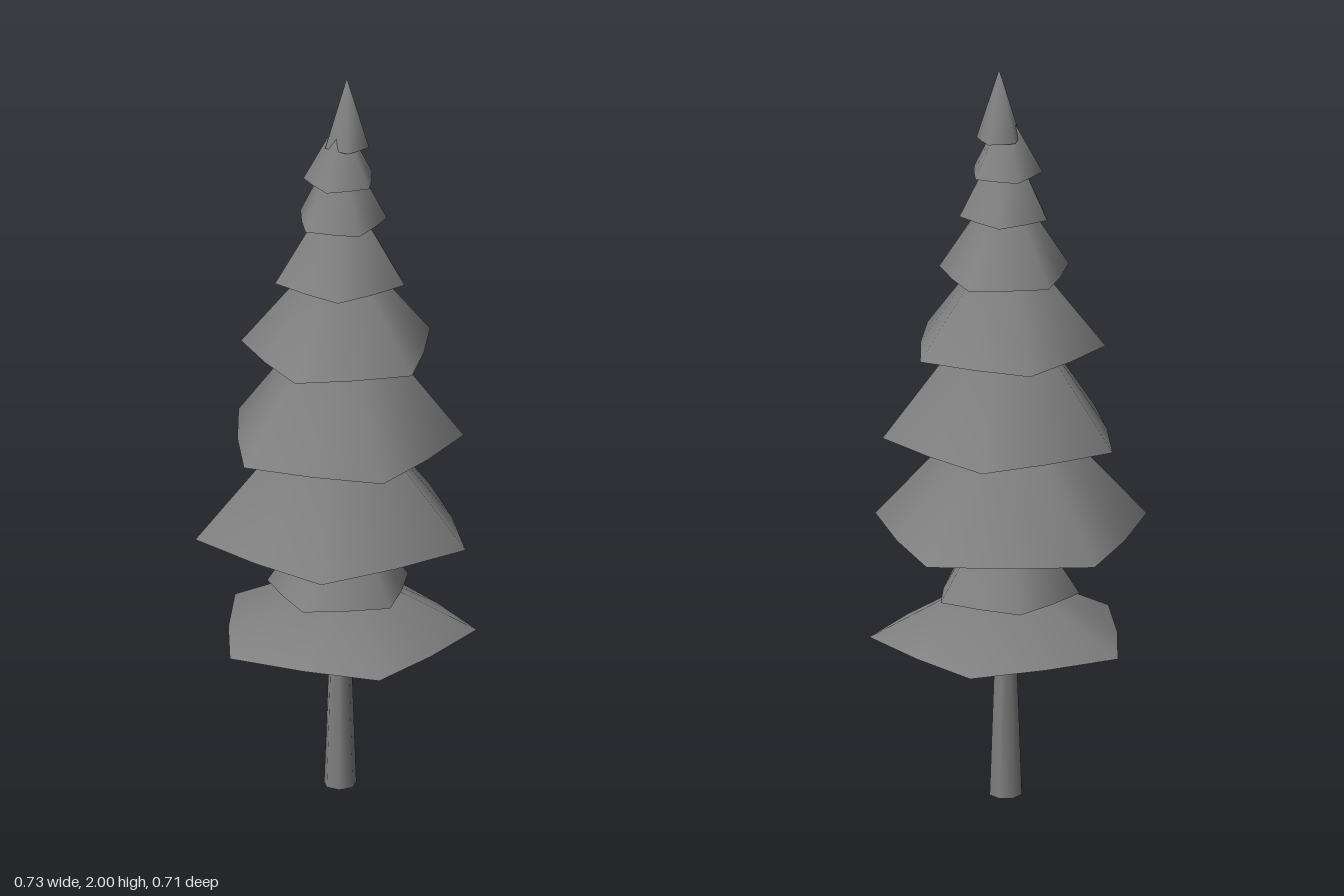
import * as THREE from 'three';

const grey = new THREE.MeshStandardMaterial({ color: 0x808080 });
grey.name = 'grey';

// Star-edged cone fan: five corners with slightly bowed edges between them
function fan(radius, turn, tipHeight, facingDown) {
  const points = [0, tipHeight, 0];
  const index = [];
  const n = 10;
  for (let i = 0; i < n; i++) {
    const a = THREE.MathUtils.degToRad(turn + i * 36);
    const r = i % 2 ? radius * 0.84 : radius;
    points.push(Math.cos(a) * r, 0, Math.sin(a) * r);
    const p = 1 + i, q = 1 + (i + 1) % n;
    index.push(0, ...(facingDown ? [p, q] : [q, p]));
  }
  const geometry = new THREE.BufferGeometry();
  geometry.setAttribute('position', new THREE.Float32BufferAttribute(points, 3));
  geometry.setIndex(index);
  geometry.computeVertexNormals();
  return geometry;
}

export function createModel() {
  const tree = new THREE.Group();
  tree.name = 'tree';

  // Tapered trunk
  const trunk = new THREE.Mesh(new THREE.CylinderGeometry(0.026, 0.043, 0.48, 7), grey);
  trunk.name = 'trunk';
  trunk.position.set(0.008, 0.24, -0.022);
  tree.add(trunk);

  // Branch tiers, bottom to top: base y, tip y, radius, turn in degrees, centre x, centre z
  const tiers = [
    [0.44, 0.625, 0.35, 0, 0.012, -0.025],
    [0.56, 0.86, 0.193, 46, 0.008, -0.022],
    [0.73, 1.15, 0.37, 21.6, -0.006, -0.017],
    [0.99, 1.41, 0.319, -4, 0.01, -0.008],
    [1.24, 1.565, 0.261, 43, 0.009, -0.02],
    [1.44, 1.72, 0.177, 18, 0.009, -0.025],
    [1.6, 1.84, 0.121, -7, 0.009, -0.024],
    [1.715, 1.895, 0.097, 38, 0.009, -0.023],
    [1.81, 2.0, 0.06, 85, 0.025, -0.029],
  ];
  tiers.forEach(([base, tip, radius, turn, x, z], i) => {
    const tier = new THREE.Group();
    tier.name = `branchTier${i + 1}`;
    tier.position.set(x, base, z);

    const top = new THREE.Mesh(fan(radius, turn, tip - base, false), grey);
    top.name = 'foliageTop';
    // Shallow hollow underside
    const under = new THREE.Mesh(fan(radius, turn, (tip - base) * 0.2, true), grey);
    under.name = 'foliageUnderside';
    tier.add(top, under);
    tree.add(tier);
  });
  return tree;
}
